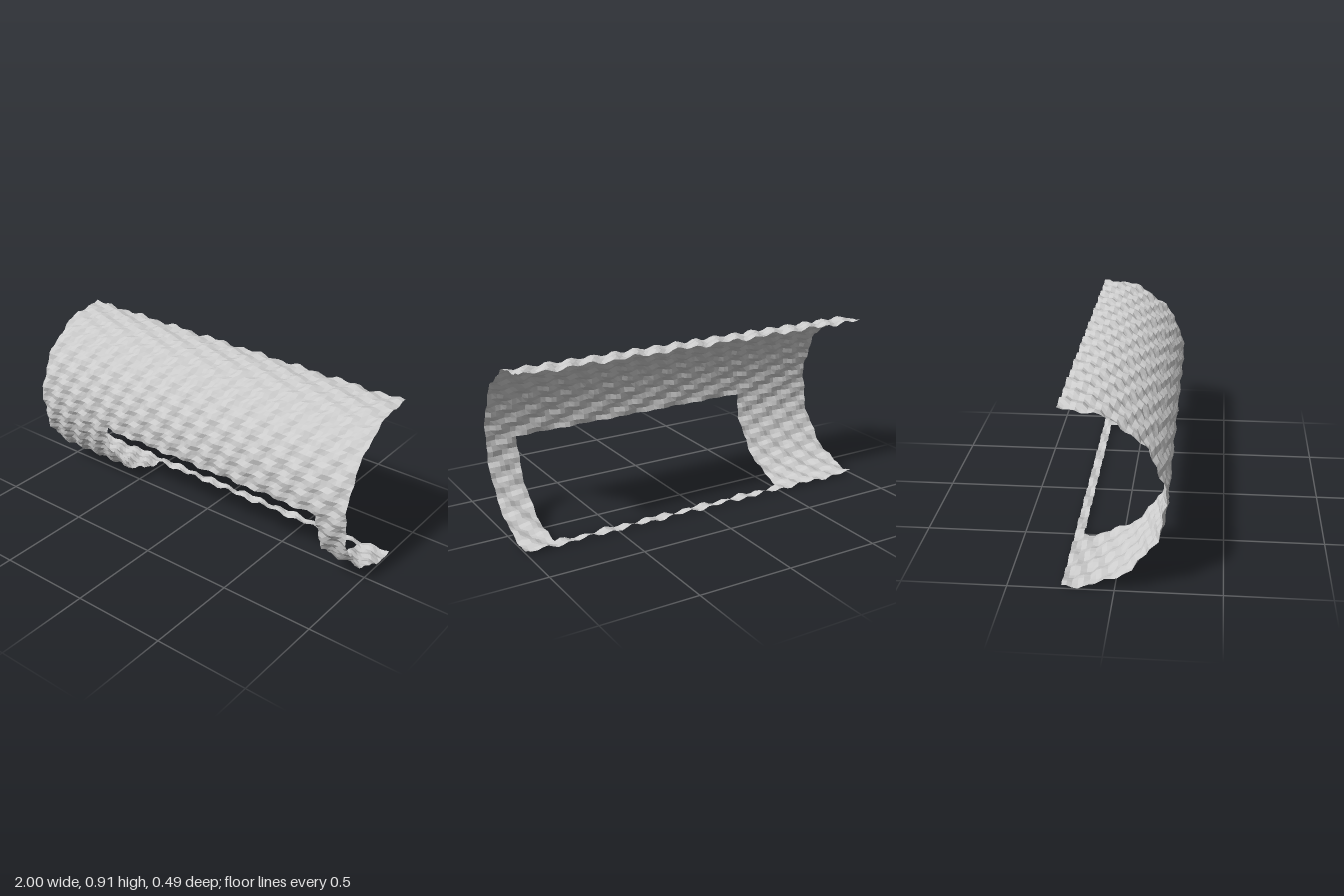
import * as THREE from 'three';

// Half-tube shell: centre, mean radius and bump height
const CY = 0.46, CZ = -0.212, R = 0.443, BUMP = 0.014;
const EDGE = 1.645; // angle of the two straight rear edges
// Rectangular opening, in x and in angle (0 faces the front, positive is up)
const OPEN = { x0: -0.52, x1: 0.835, a0: -1.54, a1: -0.068 };

// Evenly divided spans that land exactly on every stop
function divide(stops, step) {
  const out = [stops[0]];
  for (let i = 1; i < stops.length; i++) {
    const a = stops[i - 1], b = stops[i];
    const n = Math.max(2, Math.round((b - a) / step));
    for (let k = 1; k <= n; k++) out.push(a + ((b - a) * k) / n);
  }
  return out;
}

// Woven relief: slanted ridges broken up by small knots
function relief(x, a) {
  const s = a * R, t = Math.PI * 2;
  const ridge = Math.sin((t * (x - 0.5 * s)) / 0.117);
  const knot = Math.sin((t * (s + 0.35 * x)) / 0.094);
  return BUMP * (0.6 * ridge + 0.4 * knot);
}

function shellGeometry() {
  const xs = divide([-1, OPEN.x0, OPEN.x1, 1], 0.027);
  const as = divide([-EDGE, OPEN.a0, OPEN.a1, EDGE], 0.062);
  const pos = [], index = [], nx = xs.length;
  for (const a of as) {
    for (const x of xs) {
      const r = R + relief(x, a);
      // rear edges stay straight in z
      const z = Math.max(-0.245, CZ + r * Math.cos(a));
      pos.push(x, CY + r * Math.sin(a), Math.abs(a) === EDGE ? -0.245 : z);
    }
  }
  for (let j = 0; j < as.length - 1; j++) {
    for (let i = 0; i < nx - 1; i++) {
      // leave out the cells inside the opening
      const x = (xs[i] + xs[i + 1]) / 2, a = (as[j] + as[j + 1]) / 2;
      if (x > OPEN.x0 && x < OPEN.x1 && a > OPEN.a0 && a < OPEN.a1) continue;
      const p = j * nx + i, q = p + nx;
      index.push(p, p + 1, q + 1, p, q + 1, q);
    }
  }
  const g = new THREE.BufferGeometry();
  g.setAttribute('position', new THREE.Float32BufferAttribute(pos, 3));
  g.setIndex(index);
  g.computeVertexNormals();
  return g;
}

export function createModel() {
  const group = new THREE.Group();
  group.name = 'texturedHalfTube';
  const material = new THREE.MeshStandardMaterial({
    color: 0xcccccc, flatShading: true, side: THREE.DoubleSide,
  });
  const shell = new THREE.Mesh(shellGeometry(), material);
  shell.name = 'curvedShellWithOpening';
  group.add(shell);
  return group;
}
